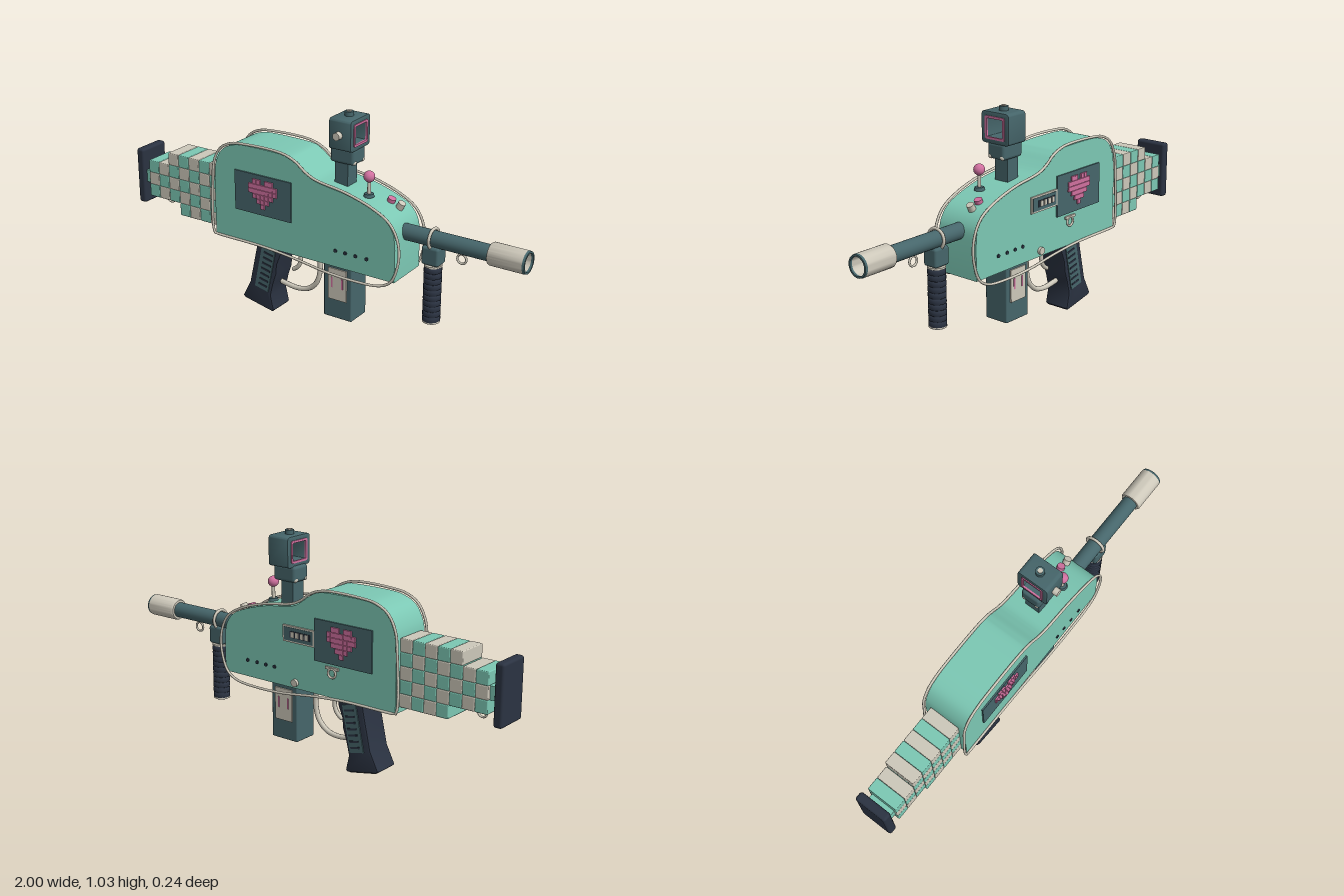
import * as THREE from 'three';
import { toCreasedNormals } from 'three/addons/utils/BufferGeometryUtils.js';
import { RoundedBoxGeometry } from 'three/addons/geometries/RoundedBoxGeometry.js';

const colour = (name, hex) => Object.assign(new THREE.MeshStandardMaterial({ color: hex }), { name });

export function createModel() {
  const mint = colour('mint', 0x7cc8b4), cream = colour('cream', 0xcdc8ba), slate = colour('slate teal', 0x46666b);
  const navy = colour('dark navy', 0x2b3342), pink = colour('pink', 0xd0709f);
  const model = new THREE.Group();
  model.name = 'toyBlaster';

  // Helpers
  const add = (name, geo, mat, x = 0, y = 0, z = 0, parent = model) => {
    const m = new THREE.Mesh(geo, mat);
    m.name = name;
    m.position.set(x, y, z);
    parent.add(m);
    return m;
  };
  const box = (w, h, d) => new THREE.BoxGeometry(w, h, d);
  const round = (w, h, d, r) => new RoundedBoxGeometry(w, h, d, 2, r);
  const cyl = (r, h, r2 = r) => new THREE.CylinderGeometry(r, r2, h, 24);
  const v2 = pts => pts.map(p => new THREE.Vector2(...p));
  const slab = (shape, depth, bevel = 0) => {
    const g = new THREE.ExtrudeGeometry(shape, {
      depth: depth - 2 * bevel, bevelEnabled: bevel > 0, bevelSize: bevel, bevelOffset: -bevel,
      bevelThickness: bevel, bevelSegments: 2, curveSegments: 6,
    });
    return toCreasedNormals(g.translate(0, 0, bevel - depth / 2), 0.6);
  };
  const tube = (pts, r, z = 0, closed = false) => new THREE.TubeGeometry(
    new THREE.CatmullRomCurve3(pts.map(p => new THREE.Vector3(p[0], p[1], z)), closed, 'centripetal'), closed ? 120 : 40, r, 8, closed);
  const lathe = pts => toCreasedNormals(new THREE.LatheGeometry(v2(pts), 32), 0.6).rotateZ(-Math.PI / 2);
  const square = (a, b, r) => {
    const s = new THREE.Shape();
    s.moveTo(-a + r, -b).lineTo(a - r, -b).quadraticCurveTo(a, -b, a, -b + r).lineTo(a, b - r)
      .quadraticCurveTo(a, b, a - r, b).lineTo(-a + r, b).quadraticCurveTo(-a, b, -a, b - r)
      .lineTo(-a, -b + r).quadraticCurveTo(-a, -b, -a + r, -b);
    return s;
  };

  // Main body
  const top = [[-0.51, 0.62], [-0.5, 0.7], [-0.465, 0.765], [-0.41, 0.797], [-0.33, 0.81], [-0.13, 0.808],
    [-0.07, 0.79], [-0.02, 0.755], [0.03, 0.725], [0.09, 0.712], [0.2, 0.695], [0.32, 0.66], [0.39, 0.625], [0.43, 0.57], [0.44, 0.5]];
  const body = new THREE.Shape();
  body.moveTo(0.44, 0.348).lineTo(-0.51, 0.348).lineTo(-0.51, 0.62);
  body.splineThru(v2(top.slice(1)));
  add('body', slab(body, 0.21), mint);

  // Piping around both side faces
  const piping = [[-0.515, 0.352], [-0.517, 0.62], [-0.507, 0.705], [-0.47, 0.773], [-0.41, 0.807], [-0.33, 0.818],
    [-0.13, 0.816], [-0.06, 0.792], [-0.01, 0.755], [0.04, 0.732], [0.2, 0.705], [0.33, 0.665], [0.41, 0.62], [0.445, 0.57],
    [0.463, 0.5], [0.455, 0.42], [0.425, 0.35], [0.37, 0.318], [0.25, 0.307], [0.1, 0.312], [-0.08, 0.335], [-0.25, 0.348], [-0.49, 0.35]];

  // Details repeated on both sides
  const heart = ['.##.##.', '#######', '#######', '.#####.', '..###..', '...#...'];
  for (const s of [1, -1]) {
    add('piping', tube(piping, 0.006, s * 0.109, true), cream);
    add('screen', box(0.305, 0.188, 0.012), slate, -0.238, 0.595, s * 0.106);
    heart.forEach((row, j) => [...row].forEach((c, i) => {
      if (c === '#') add('heartPixel', box(0.0205, 0.021, 0.008), pink, -0.234 + (i - 3) * 0.022, 0.658 - j * 0.023, s * 0.115);
    }));
    for (const x of [0.145, 0.195, 0.247, 0.303])
      add('sideDot', cyl(0.008, 0.008).rotateX(Math.PI / 2), navy, x, 0.425, s * 0.106);
    add('magazinePlate', box(0.096, 0.15, 0.01), cream, 0.128, 0.24, s * 0.062);
    for (const x of [0.102, 0.155]) add('magazineStripe', box(0.008, 0.05, 0.006), pink, x, 0.248, s * 0.066);
  }

  // Control strip, knob and catch on the back side only
  add('stripFrame', box(0.175, 0.075, 0.012), cream, 0.003, 0.595, -0.106);
  add('stripPanel', box(0.16, 0.06, 0.006), slate, 0.003, 0.595, -0.111);
  add('stripSlot', box(0.11, 0.03, 0.005), navy, -0.008, 0.595, -0.114);
  for (let i = 0; i < 4; i++) add('stripKey', box(0.016, 0.025, 0.008), cream, -0.047 + i * 0.026, 0.595, -0.116);
  add('sideKnob', cyl(0.017, 0.02).rotateX(Math.PI / 2), cream, 0.025, 0.375, -0.108);
  add('catchPlate', box(0.07, 0.012, 0.01), cream, -0.18, 0.482, -0.108);
  add('catchRing', new THREE.TorusGeometry(0.02, 0.005, 8, 24), cream, -0.18, 0.46, -0.11);

  // Chequered block stock: first and last row of each column
  const columns = [[1, 3], [1, 3], [0, 3], [0, 4], [0, 4], [0, 4], [0, 4]];
  columns.forEach(([a, b], c) => {
    for (let r = a; r <= b; r++)
      add('stockBlock', round(0.0595, 0.0595, 0.15, 0.004), (r + c) % 2 ? mint : cream, -0.9 + c * 0.0605, 0.642 - r * 0.06, 0);
  });
  add('stockLink', box(0.05, 0.06, 0.12), mint, -0.945, 0.522, 0);
  add('buttPlate', round(0.042, 0.27, 0.16, 0.012), navy, -0.979, 0.523, 0);

  // Strap rings
  for (const [x, y] of [[-0.865, 0.41], [0.7, 0.487]])
    add('strapRing', new THREE.TorusGeometry(0.021, 0.005, 8, 24), cream, x, y, 0);

  // Rear grip
  const grip = new THREE.Shape(v2([[-0.31, 0.36], [-0.315, 0.31], [-0.335, 0.22], [-0.355, 0.13], [-0.398, 0.045],
    [-0.385, 0.035], [-0.232, 0.004], [-0.222, 0.014], [-0.238, 0.085], [-0.222, 0.15], [-0.205, 0.2], [-0.2, 0.25], [-0.178, 0.305], [-0.172, 0.36]]));
  add('grip', slab(grip, 0.13, 0.01), navy);
  const cap = add('gripCap', box(0.14, 0.008, 0.1), cream, -0.308, 0.019, 0);
  cap.rotation.z = -0.2;
  for (const s of [1, -1]) {
    const panel = new THREE.Group();
    panel.name = 'gripPanel';
    panel.position.set(-0.264, 0.215, s * 0.065);
    panel.rotation.z = -0.21;
    model.add(panel);
    add('panelBase', box(0.075, 0.215, 0.008), slate, 0, 0, 0, panel);
    for (let i = 0; i < 7; i++) add('panelRib', box(0.05, 0.009, 0.012), navy, 0.004, -0.085 + i * 0.028, 0, panel);
  }

  // Trigger and guard
  add('triggerGuard', tube([[-0.13, 0.335], [-0.04, 0.335], [-0.012, 0.315], [-0.006, 0.25], [-0.025, 0.185], [-0.07, 0.143], [-0.13, 0.13], [-0.22, 0.14]], 0.012), cream);
  add('trigger', tube([[-0.125, 0.35], [-0.112, 0.3], [-0.115, 0.26], [-0.13, 0.235], [-0.15, 0.22]], 0.01), cream);
  add('triggerTip', new THREE.SphereGeometry(0.01, 12, 8), cream, -0.15, 0.22, 0);

  // Magazine
  add('magazine', round(0.146, 0.3, 0.122, 0.006), slate, 0.127, 0.222, 0);

  // Barrel and muzzle
  const Y = 0.547;
  add('barrel', cyl(0.036, 0.48).rotateZ(Math.PI / 2), slate, 0.64, Y, 0);
  add('muzzleSleeve', lathe([[0.034, 0.832], [0.046, 0.832], [0.05, 0.838], [0.05, 0.99]]), cream, 0, Y, 0);
  add('muzzleRim', lathe([[0.05, 0.99], [0.048, 1], [0.04, 1], [0.04, 0.99]]), slate, 0, Y, 0);
  add('muzzleBore', lathe([[0.04, 0.99], [0.04, 0.878]]), cream, 0, Y, 0);
  add('boreFloor', lathe([[0.04, 0.882], [0, 0.882]]), slate, 0, Y, 0);
  add('barrelRing', new THREE.TorusGeometry(0.044, 0.007, 8, 32).rotateY(Math.PI / 2), cream, 0.565, Y, 0);

  // Ribbed front grip
  add('foreCollar', round(0.082, 0.085, 0.074, 0.012), slate, 0.567, 0.476, 0);
  add('foreGripCore', cyl(0.034, 0.27), navy, 0.567, 0.295, 0);
  for (let i = 0; i < 10; i++) {
    const rib = [[0.033, -0.0125], [0.039, -0.009], [0.039, 0.009], [0.033, 0.0125]];
    add('foreGripRib', new THREE.LatheGeometry(v2(rib), 24), navy, 0.567, 0.408 - i * 0.0255, 0);
  }
  for (const y of [0.427, 0.167]) add('foreGripRing', cyl(0.039, 0.008), cream, 0.567, y, 0);

  // Sight
  add('sightPost', box(0.066, 0.14, 0.072), slate, 0.127, 0.75, 0);
  add('sightNeck', round(0.122, 0.074, 0.096, 0.015), slate, 0.136, 0.84, 0);
  for (const x of [0.084, 0.188]) for (const z of [0.032, -0.032])
    add('sightScrew', new THREE.SphereGeometry(0.012, 12, 8), cream, x, 0.815, z);
  const frame = (outer, inner, depth, bevel) => {
    outer.holes.push(inner);
    return slab(outer, depth, bevel).rotateY(Math.PI / 2);
  };
  add('sightHead', frame(square(0.076, 0.069, 0.018), square(0.046, 0.042, 0.005), 0.11, 0.003), slate, 0.144, 0.94, 0);
  for (const x of [0.089, 0.199])
    add('sightFrame', frame(square(0.054, 0.05, 0.01), square(0.044, 0.04, 0.005), 0.008, 0), pink, x, 0.94, 0);
  add('sightKnob', cyl(0.017, 0.03).rotateX(Math.PI / 2), cream, 0.14, 0.94, 0.085);
  add('sightDial', cyl(0.02, 0.02), slate, 0.142, 1.018, 0);
  add('sightDialCore', cyl(0.011, 0.024), cream, 0.142, 1.02, 0);

  // Joystick and buttons
  add('joystickBase', cyl(0.02, 0.014, 0.024), slate, 0.265, 0.687, 0.032);
  add('joystickStem', cyl(0.008, 0.08), cream, 0.265, 0.72, 0.032);
  add('joystickBall', new THREE.SphereGeometry(0.025, 24, 16), pink, 0.265, 0.77, 0.032);
  add('pinkButton', cyl(0.018, 0.03), pink, 0.338, 0.655, -0.03).rotation.z = -0.35;
  add('creamButton', cyl(0.017, 0.04), cream, 0.383, 0.64, -0.03).rotation.z = -0.5;

  return model;
}
